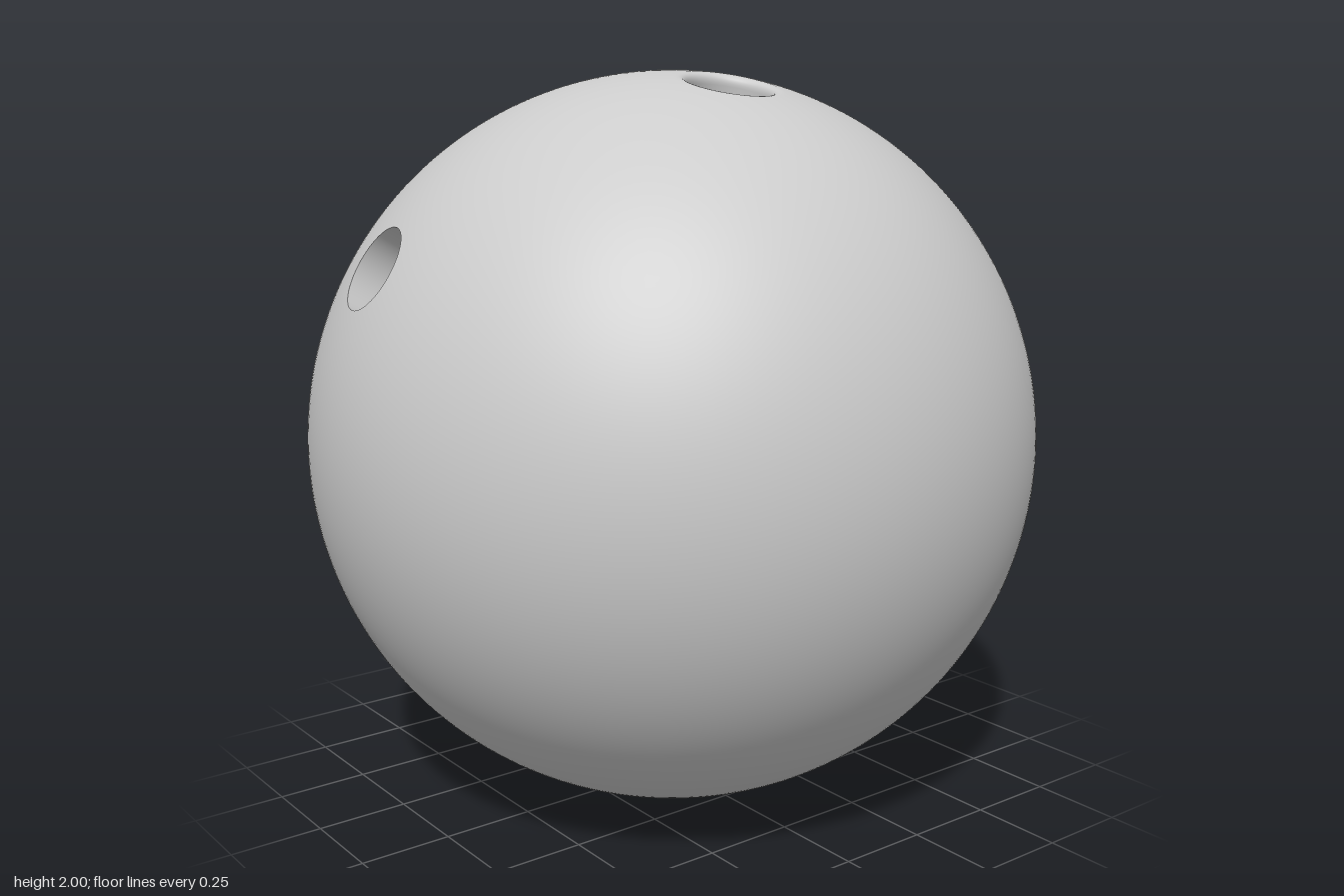
import * as THREE from 'three';

const CAP = 0.2;      // angular radius of the patch around each hole
const FLOOR = 0.785;  // distance of each hole floor from the ball centre

// dir: hole axis, r: bore radius, lip: radius where the rounded edge meets the ball
const HOLES = [
  { name: 'thumbHole', dir: [-0.115, 0.512, 0.851], r: 0.117, lip: 0.117 },
  { name: 'rightFingerHole', dir: [-0.322, 0.943, -0.08], r: 0.122, lip: 0.14 },
  { name: 'leftFingerHole', dir: [0.243, 0.97, -0.003], r: 0.111, lip: 0.142 },
].map((h) => ({ ...h, axis: new THREE.Vector3(...h.dir).normalize() }));

const material = new THREE.MeshStandardMaterial({ color: 0xcccccc, roughness: 0.6 });

// Sphere whose triangles inside each cap are removed and border vertices snapped to the cap circle
function shellGeometry() {
  const geo = new THREE.SphereGeometry(1, 192, 128);
  const pos = geo.attributes.position;
  const inside = [];
  const v = new THREE.Vector3();
  for (let i = 0; i < pos.count; i++) {
    v.fromBufferAttribute(pos, i).normalize();
    for (const { axis } of HOLES) {
      if (v.angleTo(axis) >= CAP) continue;
      inside[i] = true;
      const side = v.clone().addScaledVector(axis, -v.dot(axis)).normalize();
      v.copy(axis).multiplyScalar(Math.cos(CAP)).addScaledVector(side, Math.sin(CAP));
      break;
    }
    pos.setXYZ(i, v.x, v.y, v.z);
    geo.attributes.normal.setXYZ(i, v.x, v.y, v.z);
  }
  const kept = [];
  const index = geo.index.array;
  for (let i = 0; i < index.length; i += 3) {
    const tri = [index[i], index[i + 1], index[i + 2]];
    if (!tri.every((k) => inside[k])) kept.push(...tri);
  }
  geo.setIndex(kept);
  return geo;
}

function lathe(name, points) {
  const mesh = new THREE.Mesh(new THREE.LatheGeometry(points, 72), material);
  mesh.name = name;
  return mesh;
}

// Surrounding ball patch, rounded lip, bore wall and flat floor, built along +y then aimed
function hole({ name, axis, r, lip }) {
  const group = new THREE.Group();
  group.name = name;
  const onBall = (a) => new THREE.Vector2(Math.sin(a), Math.cos(a));
  const start = CAP + 0.004, end = Math.asin(lip);
  const collar = [];
  for (let i = 0; i <= 8; i++) collar.push(onBall(start + (end - start) * i / 8));
  const top = Math.sqrt(1 - r * r);
  const floorEdge = new THREE.Vector2(r, FLOOR);
  if (lip > r) {
    const corner = new THREE.Vector2(r, top);
    const foot = new THREE.Vector2(r, top - (lip - r));
    const round = new THREE.QuadraticBezierCurve(onBall(end), corner, foot).getPoints(8);
    group.add(lathe('collarAndBore', [...collar, ...round.slice(1), floorEdge]));
  } else {
    group.add(lathe('collar', collar));
    group.add(lathe('bore', [new THREE.Vector2(r, top), floorEdge]));
  }
  group.add(lathe('holeFloor', [floorEdge, new THREE.Vector2(0, FLOOR)]));
  group.quaternion.setFromUnitVectors(new THREE.Vector3(0, 1, 0), axis);
  return group;
}

export function createModel() {
  const ball = new THREE.Group();
  ball.name = 'bowlingBall';
  const shell = new THREE.Mesh(shellGeometry(), material);
  shell.name = 'shell';
  ball.add(shell, ...HOLES.map(hole));
  ball.position.y = 1;
  const model = new THREE.Group();
  model.add(ball);
  return model;
}
